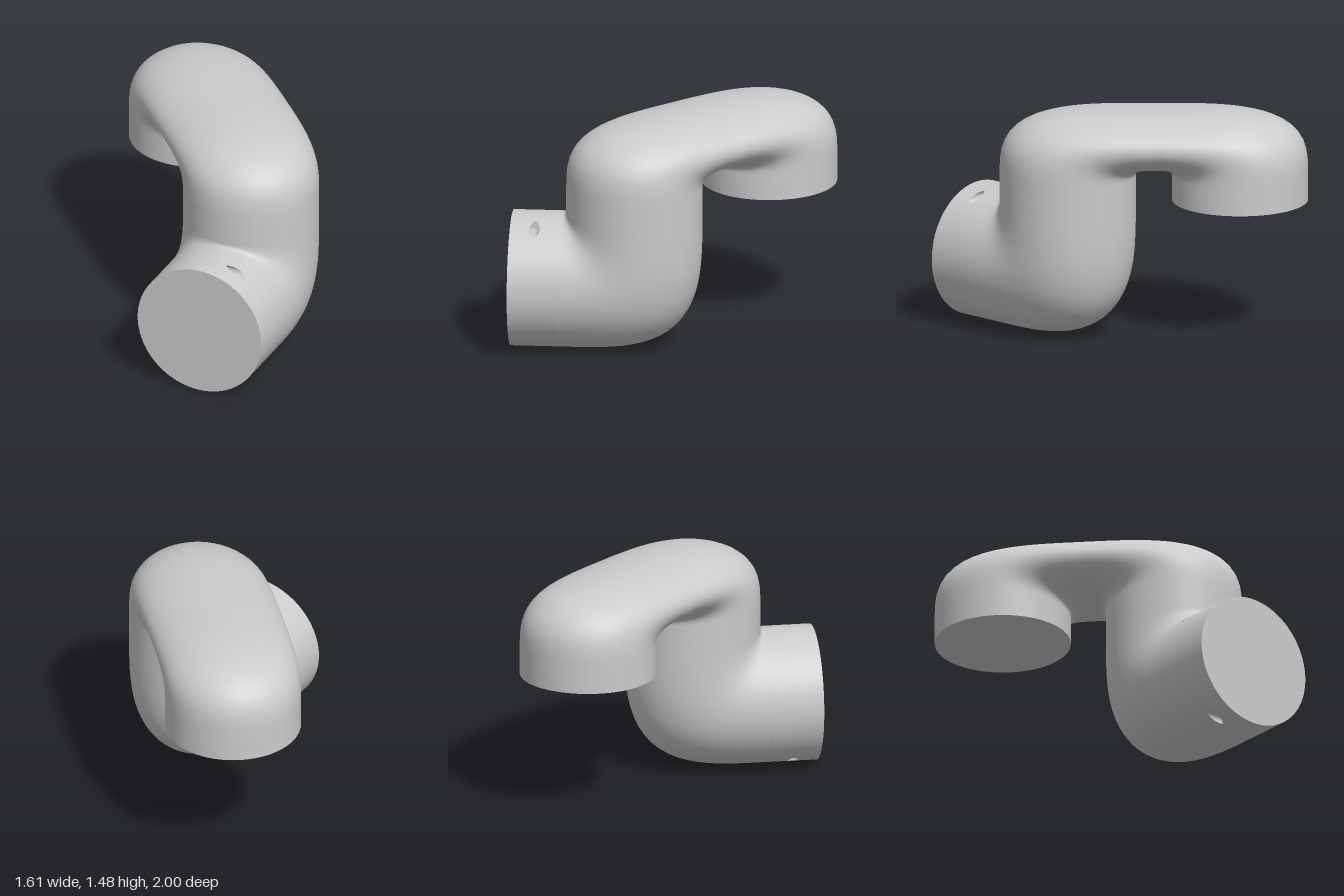
import * as THREE from 'three';

const R = 0.431;                        // pipe radius
const CX = 0.371, CY = 0.435;           // collar axis, parallel to z
const LEG_Z = 0.225;                    // upright leg axis is at (CX, LEG_Z)
const END = new THREE.Vector2(-0.375, -0.569); // axis of the far, downward end
const END_Y = 0.887;
const V = (x, y, z) => new THREE.Vector3(x, y, z);

// Surface from a rule fn(i, j); faces point along (j direction) x (i direction)
function grid(ni, nj, fn, closed = false) {
  const pos = [], idx = [], cols = closed ? nj : nj + 1;
  for (let i = 0; i <= ni; i++)
    for (let j = 0; j < cols; j++) pos.push(...fn(i, j).toArray());
  for (let i = 0; i < ni; i++)
    for (let j = 0; j < nj; j++) {
      const k = (j + 1) % cols;
      const a = i * cols + j, b = i * cols + k, c = a + cols, d = b + cols;
      idx.push(a, b, c, b, d, c);
    }
  const g = new THREE.BufferGeometry();
  g.setAttribute('position', new THREE.Float32BufferAttribute(pos, 3));
  g.setIndex(idx);
  g.computeVertexNormals();
  return g;
}

// Sweep elliptical rings, each given by its inner and outer point
function sweep(rings, side, n = 64) {
  return grid(rings.length - 1, n, (i, j) => {
    const [inner, outer] = rings[i], t = (j / n) * Math.PI * 2;
    const mid = inner.clone().add(outer).multiplyScalar(0.5);
    return mid.clone()
      .addScaledVector(outer.clone().sub(mid), Math.cos(t))
      .addScaledVector(side, R * Math.sin(t));
  }, true);
}

// Fan of sections about a pivot: tight inner fillet, squarish outer curve
function bend(a, b, fillet, power, place, steps = 26) {
  const rings = [];
  for (let k = 0; k <= steps; k++) {
    const t = (k / steps) * Math.PI / 2, c = Math.cos(t), s = Math.sin(t);
    const r = Math.pow(Math.pow(c / a, power) + Math.pow(s / b, power), -1 / power);
    rings.push([place(c * fillet, s * fillet), place(c * r, s * r)]);
  }
  return rings;
}

export function createModel() {
  const group = new THREE.Group();
  const mat = new THREE.MeshStandardMaterial({ color: 0xcccccc });
  const add = (name, geo, parent = group) => {
    const m = new THREE.Mesh(geo, mat);
    m.name = name;
    parent.add(m);
    return m;
  };

  // Lower elbow: from the collar backwards, then up the leg
  const seam = 0.68, pivotY = 0.89;
  const lower = bend(pivotY - 0.004, seam - (LEG_Z - R), 0.024, 3.5,
    (u, v) => V(CX, pivotY - u, seam - v));
  lower.push([V(CX, 1.01, LEG_Z + R), V(CX, 1.01, LEG_Z - R)]);
  add('lowerElbow', sweep(lower, V(-1, 0, 0)));

  // Upper arm: two mirrored bends over the diagonal, (s, y) in its own plane
  const dir = END.clone().sub(new THREE.Vector2(CX, LEG_Z));
  const span = dir.length();
  dir.normalize();
  const at = (s, y) => V(CX + dir.x * s, y, LEG_Z + dir.y * s);
  const fillet = 0.05, py = 1.05, ps = R + fillet;
  const halfBend = place => bend(2 * R + fillet, 1.486 - py, fillet, 3.3, place);
  const arm = [
    [at(R, 1), at(-R, 1)],
    ...halfBend((u, v) => at(ps - u, py + v)),
    ...halfBend((u, v) => at(span - ps + u, py + v)).reverse(),
    [at(span - R, END_Y), at(span + R, END_Y)],
  ];
  add('upperArm', sweep(arm, V(-dir.y, 0, dir.x)));
  const endCap = add('endCap', new THREE.CircleGeometry(R, 64));
  endCap.rotation.x = Math.PI / 2;
  endCap.position.set(END.x, END_Y, END.y);

  // Collar: two equal halves, each with a blind screw hole drilled sideways
  const collar = new THREE.Group();
  collar.name = 'collar';
  collar.position.set(CX, CY, 0);
  group.add(collar);
  const z0 = 0.684, z1 = 1, zm = (z0 + z1) / 2, hz = (z1 - z0) / 2;
  const half = hz / R, hole = 0.03, holeY = 0.385, floorX = 0.1;
  const a0 = Math.asin(holeY / R);
  const onWall = (a, z) => V(R * Math.cos(a), R * Math.sin(a), z);
  const angle = j => (j / 48) * Math.PI * 2;
  // Hole rim and square patch border, as [angle on wall, z]
  const rim = t => [Math.asin((holeY + hole * Math.cos(t)) / R), zm + hole * Math.sin(t)];
  const border = t => {
    const c = Math.cos(t), s = Math.sin(t), m = Math.max(Math.abs(c), Math.abs(s));
    return [a0 + half * c / m, zm + hz * s / m];
  };
  for (const turn of [0, Math.PI]) {
    const side = new THREE.Group();
    side.name = 'collarHalf';
    side.rotation.z = turn;
    collar.add(side);
    add('collarWall', grid(1, 48, (i, j) =>
      onWall(a0 + half + (j / 48) * (Math.PI - 2 * half), i ? z1 : z0)), side);
    add('holeSurround', grid(6, 48, (i, j) => {
      const p = border(angle(j)), q = rim(angle(j)), k = i / 6;
      return onWall(p[0] + (q[0] - p[0]) * k, p[1] + (q[1] - p[1]) * k);
    }, true), side);
    add('holeWall', grid(1, 48, (i, j) => {
      const p = onWall(...rim(angle(j)));
      return i ? p.setX(floorX) : p;
    }, true), side);
    const floor = add('holeFloor', new THREE.CircleGeometry(hole, 48), side);
    floor.rotation.y = Math.PI / 2;
    floor.position.set(floorX, holeY, zm);
  }
  const frontCap = add('frontCap', new THREE.CircleGeometry(R, 96), collar);
  frontCap.position.z = z1;

  // Narrow groove between the collar and the elbow
  const groove = add('seamGroove', new THREE.CylinderGeometry(R - 0.003, R - 0.003, 0.03, 96));
  groove.rotation.x = Math.PI / 2;
  groove.position.set(CX, CY, seam + 0.002);

  return group;
}
